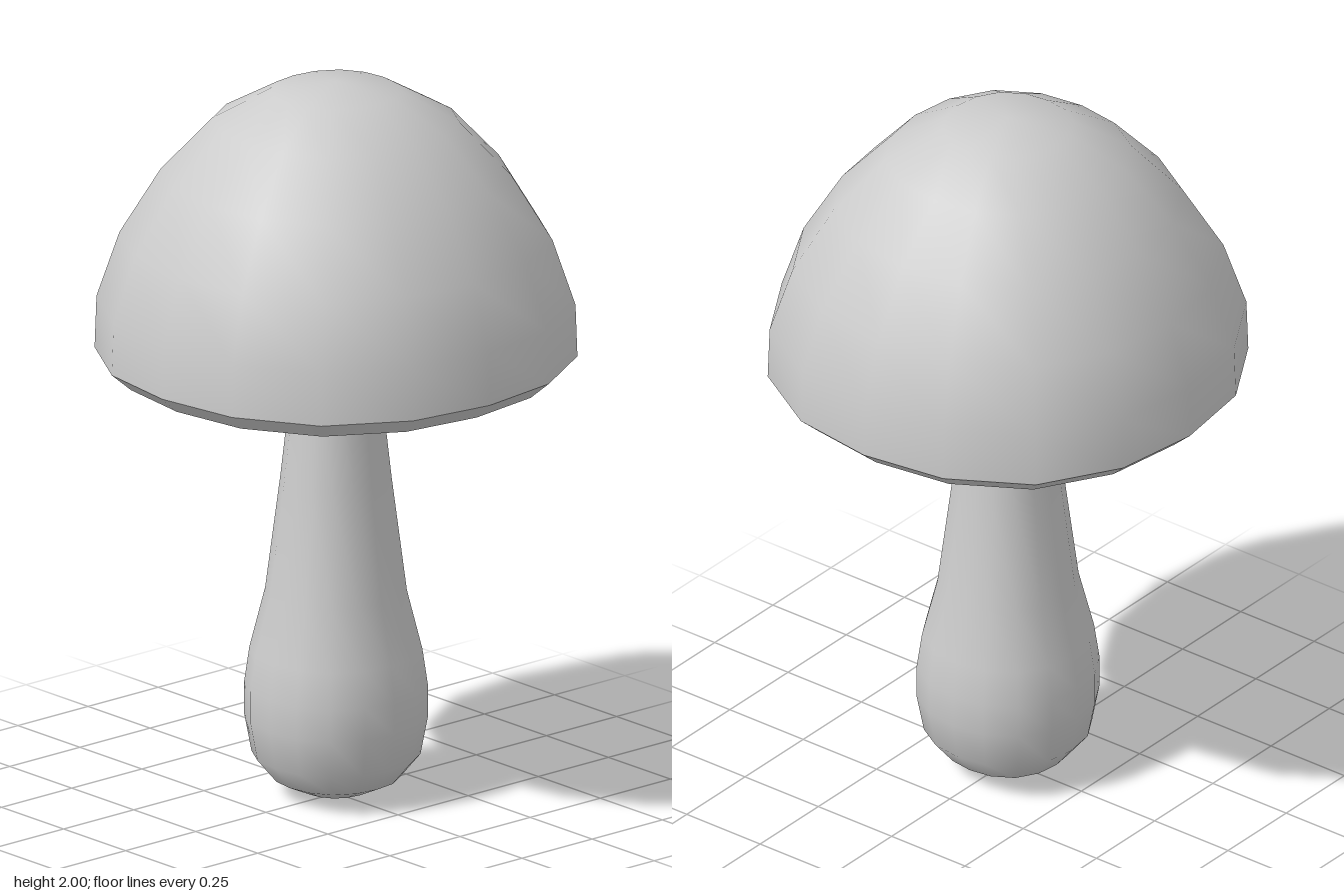
import * as THREE from 'three';
import { mergeVertices } from 'three/addons/utils/BufferGeometryUtils.js';

const SIDES = 16;

// Turned surface, slightly fuller on the diagonals, with seamless smooth normals.
// Profile runs [radius, y]; bottom to top faces outwards.
function turned(name, profile, material) {
  const lathe = new THREE.LatheGeometry(profile.map(([r, y]) => new THREE.Vector2(r, y)), SIDES);
  lathe.deleteAttribute('uv');
  lathe.deleteAttribute('normal');
  const pos = lathe.attributes.position;
  for (let i = 0; i < pos.count; i++) {
    const x = pos.getX(i), z = pos.getZ(i);
    const k = 1 + 0.021 * (1 - Math.cos(4 * Math.atan2(x, z)));
    pos.setX(i, x * k);
    pos.setZ(i, z * k);
  }
  const geometry = mergeVertices(lathe, 1e-4);
  geometry.computeVertexNormals();
  const mesh = new THREE.Mesh(geometry, material);
  mesh.name = name;
  return mesh;
}

export function createModel() {
  const group = new THREE.Group();
  group.name = 'mushroom';
  const grey = new THREE.MeshStandardMaterial({ color: 0xcccccc, side: THREE.DoubleSide });

  // Bulbous stem flowing smoothly into the hollow underside of the cap
  group.add(turned('stemAndUnderside', [
    [0, 0], [0.095, 0.017], [0.165, 0.05], [0.217, 0.115], [0.236, 0.22],
    [0.236, 0.31], [0.222, 0.41], [0.182, 0.575], [0.143, 0.89], [0.111, 1.19],
    [0.108, 1.27], [0.16, 1.31], [0.3, 1.31], [0.43, 1.28], [0.52, 1.235], [0.567, 1.193],
  ], grey));

  // Bevelled band around the lower edge of the cap
  group.add(turned('capRim', [[0.567, 1.193], [0.62, 1.24]], grey));

  // Domed cap
  group.add(turned('cap', [
    [0.62, 1.24], [0.615, 1.385], [0.556, 1.565], [0.45, 1.745],
    [0.318, 1.89], [0.17, 1.975], [0, 2],
  ], grey));

  return group;
}
